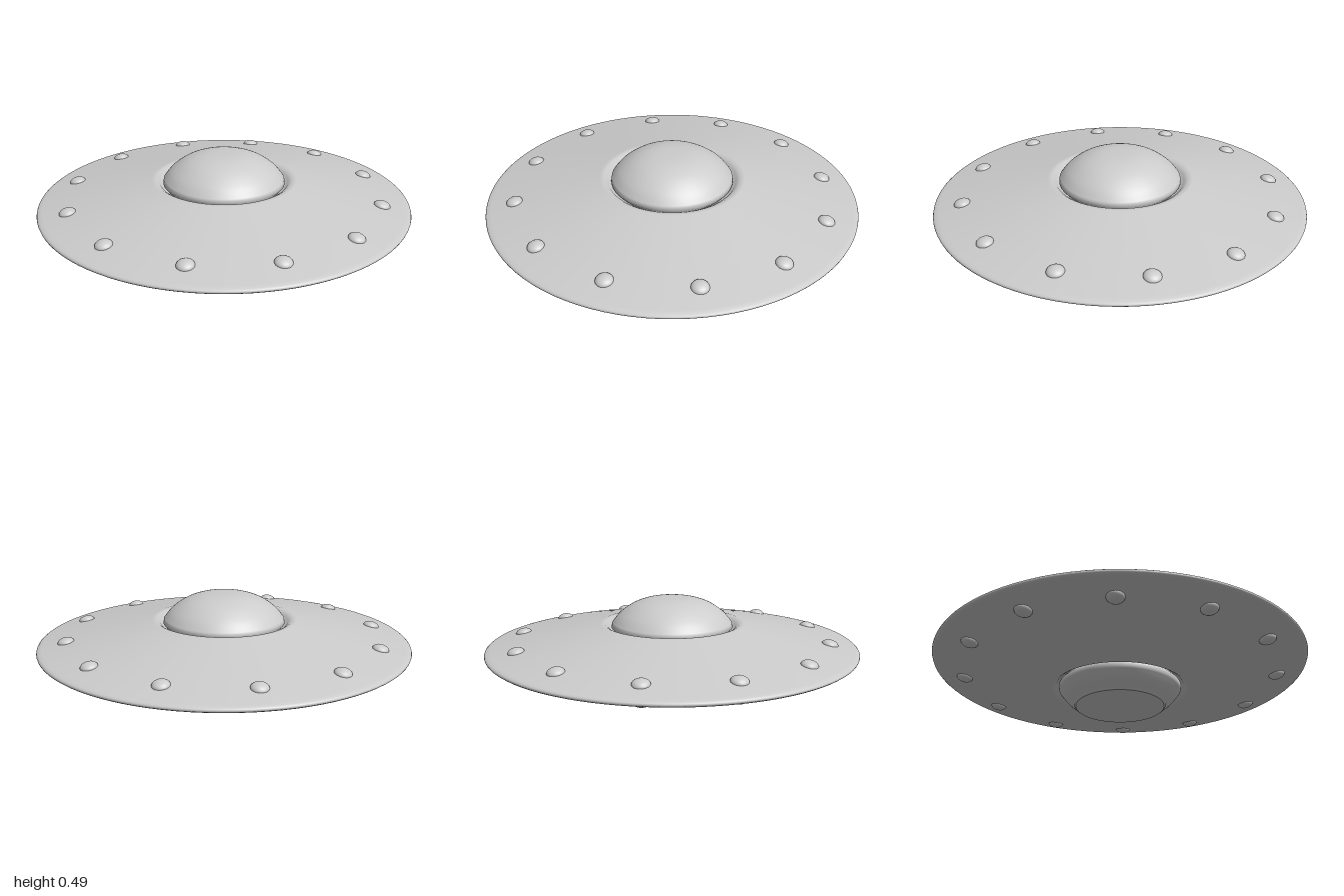
import * as THREE from 'three';

const MID = 0.223; // height of the rim plane

const material = new THREE.MeshStandardMaterial({ color: 0xcccccc, side: THREE.DoubleSide });

// Revolve [radius, height] pairs (listed bottom to top) about the y axis.
function revolve(name, points) {
  const profile = points.map(([r, y]) => new THREE.Vector2(r, y));
  const mesh = new THREE.Mesh(new THREE.LatheGeometry(profile, 96), material);
  mesh.name = name;
  mesh.position.y = MID;
  return mesh;
}

// Mirror a profile in the rim plane, keeping bottom-to-top order.
const mirrored = (points) => points.map(([r, y]) => [r, -y]).reverse();

export function createModel() {
  const group = new THREE.Group();
  group.name = 'flyingSaucer';

  // Disc: rounded rim, straight slopes and a rolled lip around each dome
  const upperHull = [
    [0.998, 0.006], [0.99, 0.012], [0.97, 0.017], [0.39, 0.131],
    [0.365, 0.13], [0.345, 0.118], [0.332, 0.1], [0.31, 0.095],
  ];
  group.add(revolve('hull', [...mirrored(upperHull), [1, 0], ...upperHull]));

  // Smooth canopy, tucked into the lip
  const canopy = [[0.31, 0.09], [0.328, 0.112], [0.325, 0.132]];
  const curve = new THREE.SplineCurve([
    [0.325, 0.132], [0.285, 0.181], [0.22, 0.228], [0.15, 0.256], [0.08, 0.268], [0, 0.27],
  ].map(([r, y]) => new THREE.Vector2(r, y)));
  for (const p of curve.getPoints(24).slice(1)) canopy.push([Math.max(p.x, 0), p.y]);
  group.add(revolve('canopy', canopy));

  // Underside bowl: the same curve cut off flat
  const bowl = canopy.filter(([r, y]) => y < MID - 0.008);
  bowl.push([0.243, MID - 0.006], [0.235, MID]);
  group.add(revolve('lowerBowl', mirrored(bowl)));

  // Flat base closing the bowl
  const base = new THREE.Mesh(new THREE.CircleGeometry(0.235, 96), material);
  base.name = 'basePlate';
  base.rotation.x = Math.PI / 2;
  group.add(base);

  // Twelve lamps on each face of the disc, tilted with the slope
  const lampGeometry = new THREE.SphereGeometry(0.044, 24, 16);
  lampGeometry.scale(1, 0.58, 1);
  for (const side of [1, -1]) {
    for (let i = 0; i < 12; i++) {
      const arm = new THREE.Group();
      arm.name = side > 0 ? 'upperLamp' : 'lowerLamp';
      arm.rotation.y = (i * Math.PI) / 6;
      const lamp = new THREE.Mesh(lampGeometry, material);
      lamp.name = 'lamp';
      lamp.position.set(0.846, MID + side * 0.04, 0);
      lamp.rotation.z = -side * 0.19;
      arm.add(lamp);
      group.add(arm);
    }
  }
  return group;
}
